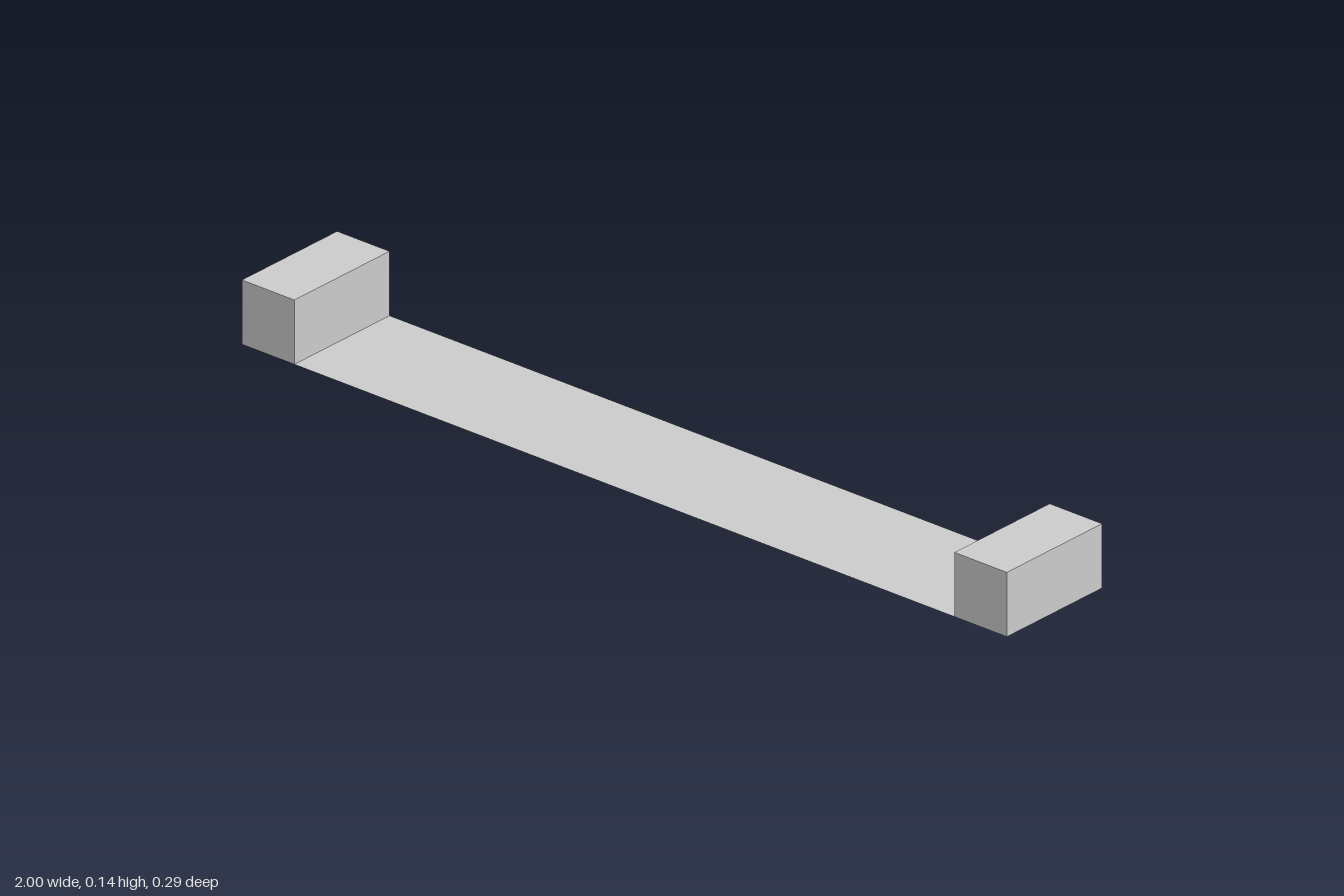
import * as THREE from 'three';

export function createModel() {
  const model = new THREE.Group();
  const material = new THREE.MeshStandardMaterial({ color: 0xcccccc, flatShading: true, side: THREE.DoubleSide });
  const blockWidth = 0.137, height = 0.142, depth = 0.288;

  // Raised block at each end
  for (const [name, side] of [['leftEndBlock', 1], ['rightEndBlock', -1]]) {
    const block = new THREE.Mesh(new THREE.BoxGeometry(blockWidth, height, depth), material);
    block.name = name;
    block.position.set(side * (1 - blockWidth / 2), height / 2, 0);
    model.add(block);
  }

  // Thin flat strip joining the blocks at ground level
  const strip = new THREE.Mesh(new THREE.PlaneGeometry(2 - 2 * blockWidth, depth), material);
  strip.name = 'floorStrip';
  strip.rotation.x = -Math.PI / 2;
  model.add(strip);

  return model;
}
